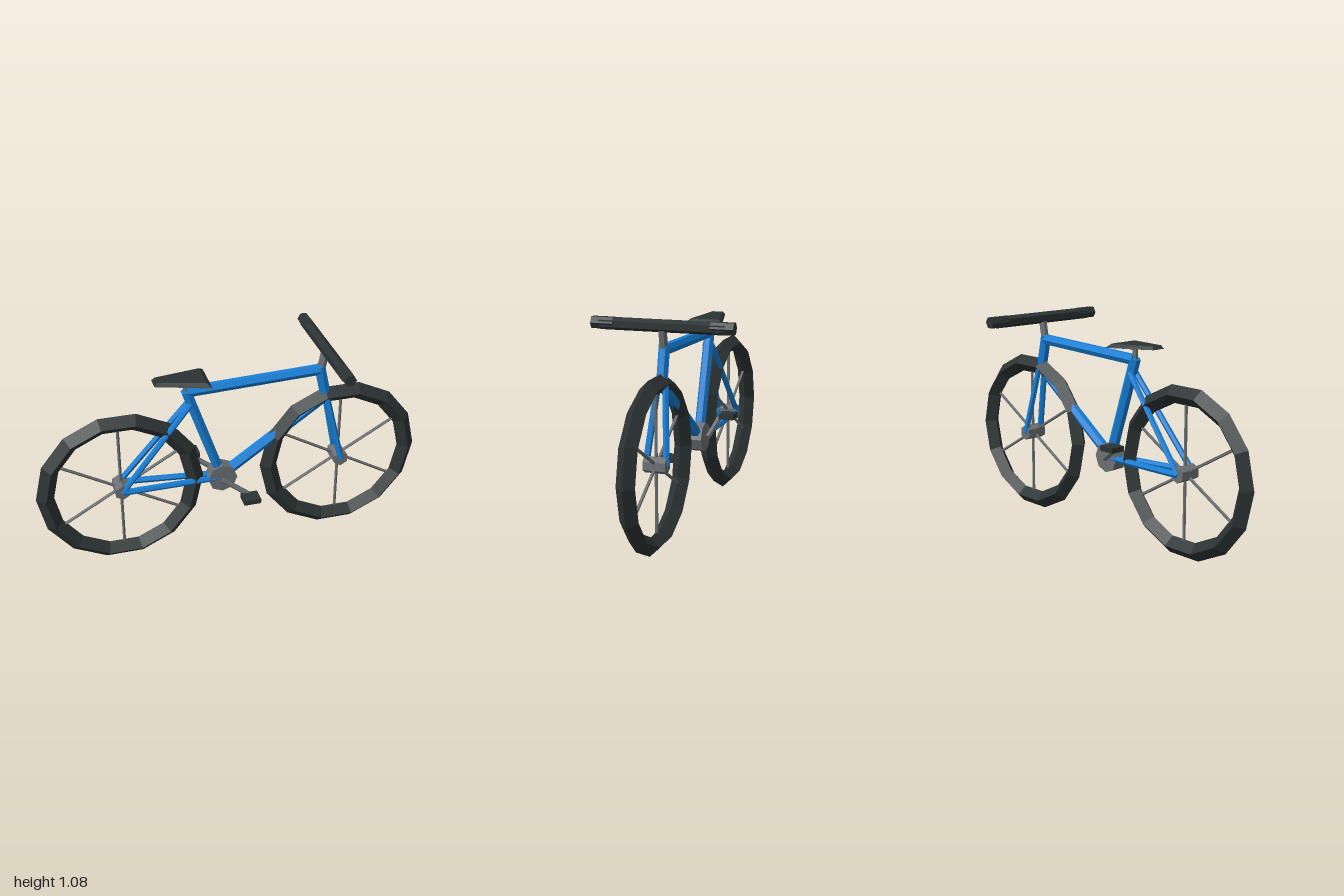
import * as THREE from 'three';
import { ConvexGeometry } from 'three/addons/geometries/ConvexGeometry.js';

const mat = (color) => new THREE.MeshStandardMaterial({ color, flatShading: true });
const V = (x, y, z = 0) => new THREE.Vector3(x, y, z);

export function createModel() {
  const bike = new THREE.Group();
  bike.name = 'bicycle';
  const blue = mat(0x1680d8), dark = mat(0x2c3334), grey = mat(0x6c7073);

  const add = (name, geometry, material, parent = bike) => {
    const mesh = new THREE.Mesh(geometry, material);
    mesh.name = name;
    parent.add(mesh);
    return mesh;
  };
  // Straight faceted tube between two points
  const tube = (name, a, b, r, material, sides = 6, parent = bike) => {
    const d = b.clone().sub(a);
    const mesh = add(name, new THREE.CylinderGeometry(r, r, d.length(), sides), material, parent);
    mesh.position.copy(a).add(b).multiplyScalar(0.5);
    mesh.quaternion.setFromUnitVectors(V(0, 1), d.normalize());
    return mesh;
  };

  // Wheels: diamond-section tyre, hub and six spokes
  const axleY = 0.415;
  for (const [name, x] of [['rearWheel', -0.575], ['frontWheel', 0.575]]) {
    const wheel = new THREE.Group();
    wheel.name = name;
    wheel.position.set(x, axleY, 0);
    bike.add(wheel);
    add('tyre', new THREE.TorusGeometry(0.38, 0.045, 4, 14), dark, wheel);
    tube('hub', V(0, 0, -0.055), V(0, 0, 0.055), 0.04, grey, 6, wheel);
    for (let i = 0; i < 6; i++) {
      const a = Math.PI / 6 + (i * Math.PI) / 3;
      tube('spoke', V(0, 0), V(0.365 * Math.cos(a), 0.365 * Math.sin(a)), 0.008, grey, 5, wheel);
    }
  }

  // Main frame
  const crankCentre = V(-0.055, 0.395);
  tube('seatTube', crankCentre, V(-0.23, 0.92), 0.028, blue);
  tube('topTube', V(-0.225, 0.912), V(0.455, 0.935), 0.028, blue);
  tube('headTube', V(0.453, 0.955), V(0.497, 0.76), 0.028, blue);
  tube('downTube', V(0.485, 0.775), crankCentre, 0.028, blue);

  // Paired stays and fork blades
  for (const s of [1, -1]) {
    tube('seatStay', V(-0.21, 0.85, 0.018 * s), V(-0.575, axleY, 0.05 * s), 0.015, blue);
    tube('chainStay', V(-0.07, 0.395, 0.02 * s), V(-0.575, axleY, 0.05 * s), 0.016, blue);
    tube('forkBlade', V(0.492, 0.785, 0.018 * s), V(0.575, axleY, 0.05 * s), 0.016, blue);
  }

  // Stem, handlebar and grips
  tube('stem', V(0.46, 0.93), V(0.482, 1.05), 0.021, grey);
  tube('handlebar', V(0.48, 1.048, -0.305), V(0.48, 1.048, 0.305), 0.03, dark);
  for (const s of [1, -1]) {
    const grip = tube('grip', V(0.48, 1.05, 0.235 * s), V(0.48, 1.05, 0.345 * s), 0.031, dark);
    grip.rotateY(Math.PI / 6);
  }

  // Seat post and wedge-shaped saddle
  tube('seatPost', V(-0.23, 0.9), V(-0.23, 0.98), 0.014, grey);
  const corners = [];
  for (const s of [1, -1]) {
    corners.push(
      V(-0.39, 0.982, 0.035 * s), V(-0.12, 0.969, 0.1 * s),
      V(-0.375, 0.998, 0.028 * s), V(-0.145, 0.99, 0.075 * s), V(-0.23, 0.967, 0.03 * s)
    );
  }
  add('saddle', new ConvexGeometry(corners), dark);

  // Crankset with opposed arms and pedals
  tube('chainring', V(-0.055, 0.395, -0.035), V(-0.055, 0.395, 0.035), 0.076, grey, 8);
  for (const s of [1, -1]) {
    const end = V(-0.06 + 0.13 * s, 0.393 - 0.09 * s, 0.076 * s);
    tube('crankArm', V(-0.06, 0.393, 0.045 * s), end, 0.014, grey);
    const pedal = add('pedal', new THREE.BoxGeometry(0.088, 0.026, 0.078), dark);
    pedal.position.set(end.x, end.y, 0.115 * s);
  }
  return bike;
}
